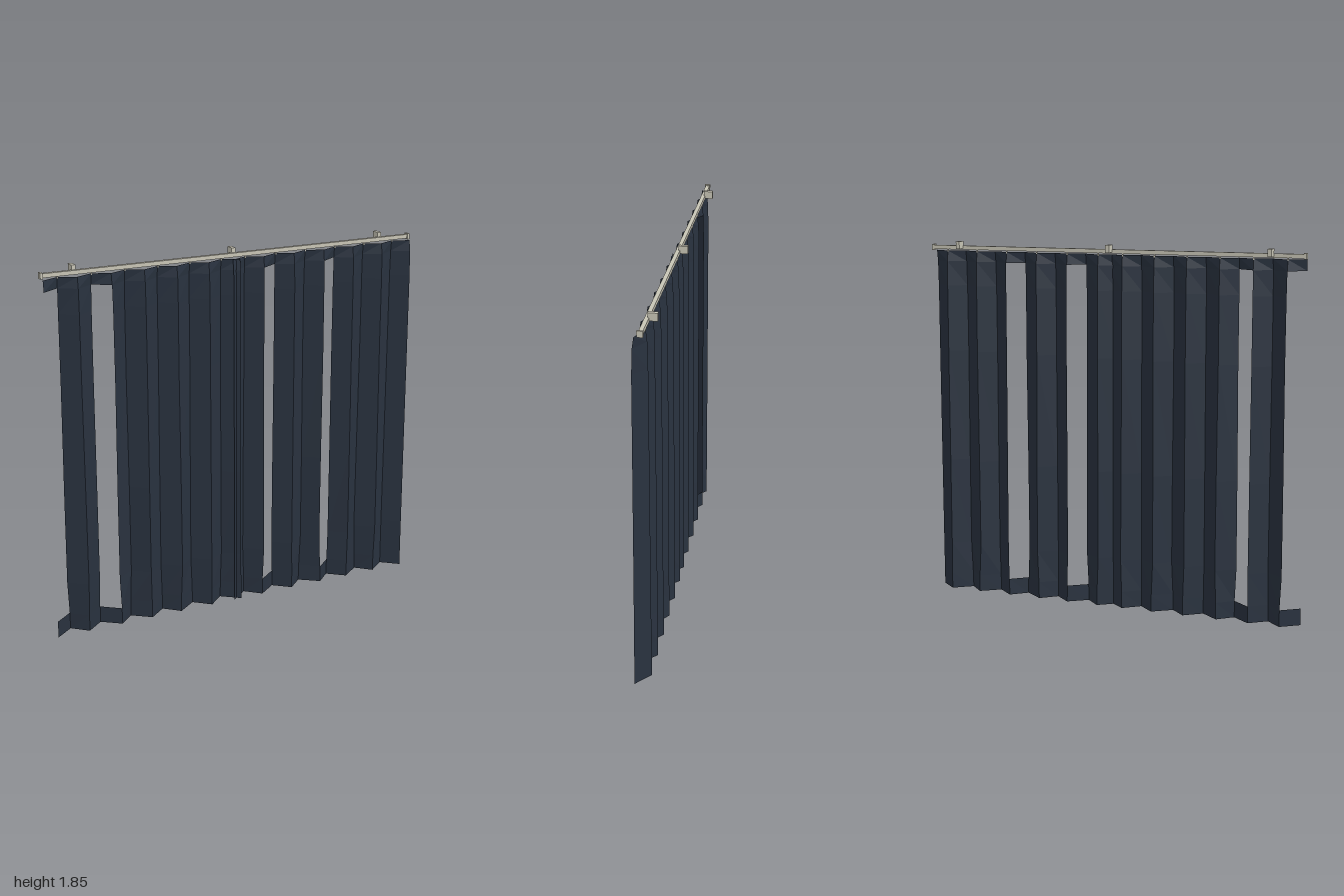
import * as THREE from 'three';

const fabric = new THREE.MeshStandardMaterial({ color: 0x29323f, flatShading: true, side: THREE.DoubleSide });
fabric.name = 'dark blue fabric';
const metal = new THREE.MeshStandardMaterial({ color: 0xc8c5b6, flatShading: true });
metal.name = 'pale metal';

const FOLDS = 12;
const PITCH = 1.013 / FOLDS;
// Rows: height, forward crest z, rear crest z, sideways sway
const ROWS = [
  [0, 0.049, -0.021, 1],
  [0.085, 0.048, -0.021, 0.7],
  [0.25, 0.047, -0.02, -0.6],
  [0.7, 0.045, -0.019, -0.4],
  [1.28, 0.043, -0.018, 0.2],
  [1.62, 0.042, -0.017, 0.1],
  [1.745, 0.038, -0.014, 0],
  [1.8, 0.03, -0.008, 0],
];

function mesh(name, geometry, material, x, y, z) {
  const m = new THREE.Mesh(geometry, material);
  m.name = name;
  m.position.set(x, y, z);
  return m;
}

// Zigzag pleated panel; open folds keep only their hem and heading band
function curtainPanel(name, startX, openFolds) {
  const positions = [];
  const index = [];
  const columns = FOLDS + 1;
  for (const [y, front, back, sway] of ROWS) {
    for (let c = 0; c < columns; c++) {
      const edge = c === 0 || c === FOLDS;
      const dx = edge ? 0 : 0.006 * sway * Math.sin(c * 2.3 + startX);
      positions.push(startX + c * PITCH + dx, y, c % 2 ? back : front);
    }
  }
  for (let r = 0; r < ROWS.length - 1; r++) {
    const isBand = r === 0 || r === ROWS.length - 2;
    for (let c = 0; c < FOLDS; c++) {
      if (openFolds.includes(c) && !isBand) continue;
      const a = r * columns + c;
      const d = a + columns;
      index.push(a, a + 1, d + 1, a, d + 1, d);
    }
  }
  const g = new THREE.BufferGeometry();
  g.setAttribute('position', new THREE.Float32BufferAttribute(positions, 3));
  g.setIndex(index);
  g.computeVertexNormals();
  return mesh(name, g, fabric, 0, 0, 0);
}

export function createModel() {
  const model = new THREE.Group();
  model.name = 'curtains';

  // Two panels overlapping slightly at the centre
  model.add(curtainPanel('rightCurtain', -0.994, [0, 3]));
  model.add(curtainPanel('leftCurtain', -0.02, [2, 6]));

  // Square rail with end caps
  const railY = 1.817;
  model.add(mesh('rail', new THREE.BoxGeometry(1.98, 0.02, 0.02), metal, 0, railY, 0));
  for (const s of [-1, 1]) {
    model.add(mesh('endCap', new THREE.BoxGeometry(0.012, 0.03, 0.028), metal, s * 0.994, railY, 0.002));
  }

  // Wall brackets behind the rail
  for (const x of [-0.83, 0, 0.83]) {
    model.add(mesh('bracket', new THREE.BoxGeometry(0.02, 0.038, 0.045), metal, x, 1.831, -0.026));
  }

  // Small gliders hanging the cloth from the rail
  for (const startX of [-0.994, -0.02]) {
    for (let c = 1; c < FOLDS; c += 2) {
      model.add(mesh('glider', new THREE.BoxGeometry(0.006, 0.016, 0.006), metal, startX + c * PITCH, 1.802, -0.006));
    }
  }
  return model;
}
